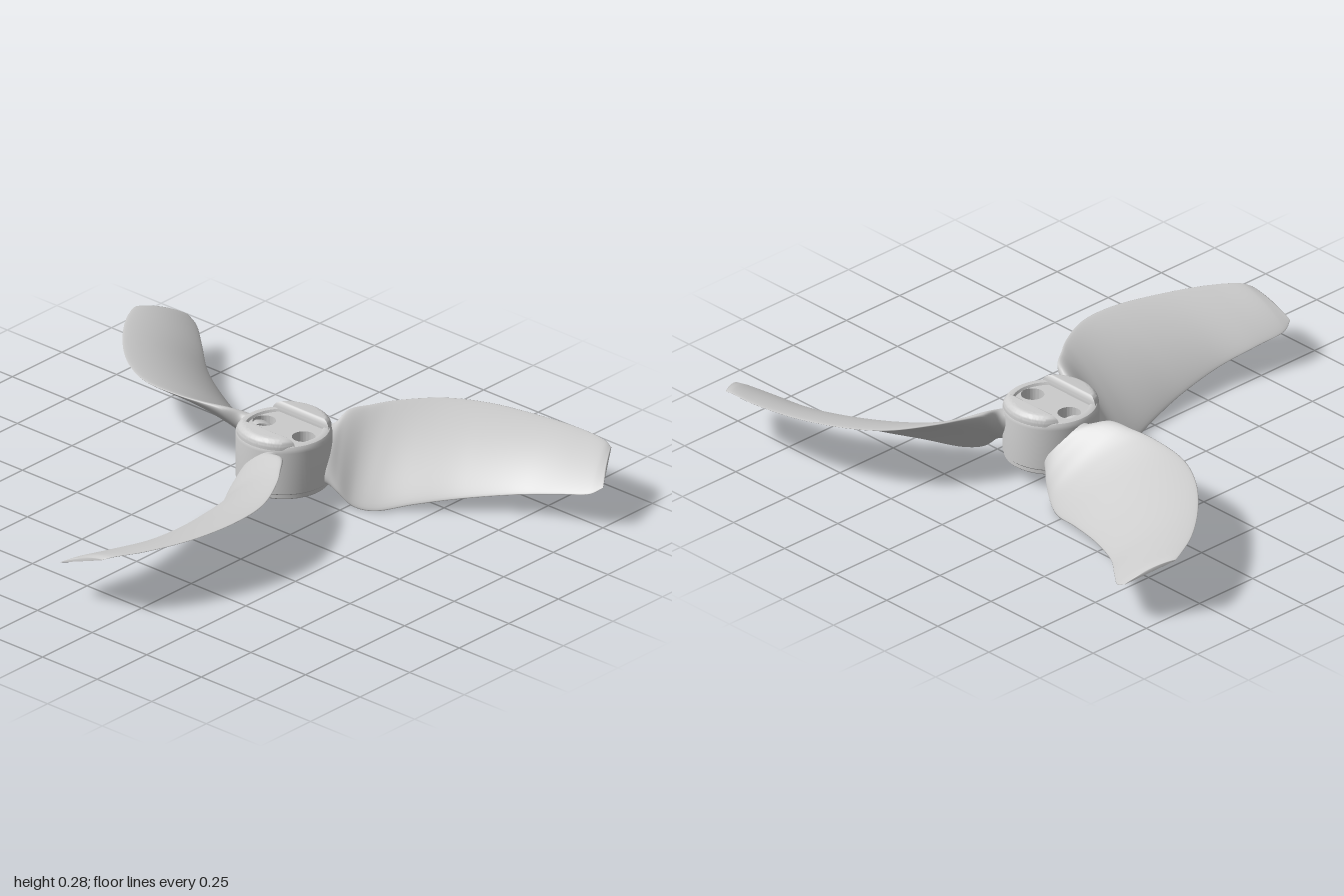
import * as THREE from 'three';
import { toCreasedNormals } from 'three/addons/utils/BufferGeometryUtils.js';

const material = new THREE.MeshStandardMaterial({ color: 0xcccccc });

function part(name, geometry) {
  const mesh = new THREE.Mesh(geometry, material);
  mesh.name = name;
  return mesh;
}

// Blade stations, root to tip: low edge x,y,z / high edge x,y,z / half thickness / camber
const STATIONS = [
  [-0.05, 0.09, 0.08, 0.09, 0.23, 0.08, 0.055, 0],
  [-0.055, 0.085, 0.16, 0.10, 0.235, 0.15, 0.045, 0],
  [-0.065, 0.06, 0.20, 0.165, 0.262, 0.19, 0.033, 0.005],
  [-0.065, 0.015, 0.25, 0.22, 0.262, 0.26, 0.02, 0.015],
  [-0.06, 0.0, 0.32, 0.27, 0.26, 0.33, 0.014, 0.025],
  [-0.03, 0.025, 0.46, 0.34, 0.252, 0.48, 0.012, 0.03],
  [0.0, 0.05, 0.62, 0.35, 0.245, 0.63, 0.01, 0.028],
  [0.01, 0.08, 0.81, 0.315, 0.235, 0.81, 0.009, 0.022],
  [-0.015, 0.11, 0.96, 0.25, 0.23, 0.98, 0.008, 0.016],
  [-0.03, 0.13, 1.07, 0.19, 0.225, 1.075, 0.007, 0.012],
  [-0.015, 0.15, 1.11, 0.165, 0.215, 1.10, 0.004, 0.008],
];

// Twisted blade lofted through thin cambered sections
function bladeGeometry() {
  const curve = (k) => new THREE.CatmullRomCurve3(
    STATIONS.map((s) => new THREE.Vector3(s[k], s[k + 1], s[k + 2] || 0)));
  const low = curve(0), high = curve(3), body = curve(6);
  const rows = 80, cols = 40, pos = [], index = [];
  for (let i = 0; i <= rows; i++) {
    const t = i / rows;
    const L = low.getPoint(t), R = high.getPoint(t), b = body.getPoint(t);
    const n = new THREE.Vector3(L.y - R.y, R.x - L.x, 0).normalize();
    for (let j = 0; j < cols; j++) {
      const a = (j / cols) * Math.PI * 2;
      const s = (1 - Math.cos(a)) / 2;
      const p = L.clone().lerp(R, s)
        .addScaledVector(n, b.y * 4 * s * (1 - s) + b.x * Math.sin(a));
      pos.push(p.x, Math.max(p.y, 0), p.z);
      if (i < rows) {
        const j2 = (j + 1) % cols;
        const p0 = i * cols + j, p1 = i * cols + j2;
        const q0 = p0 + cols, q1 = p1 + cols;
        index.push(p0, q0, p1, p1, q0, q1);
      }
    }
  }
  // Tip cap
  const last = rows * cols;
  for (let j = 1; j < cols - 1; j++) index.push(last, last + j + 1, last + j);
  const g = new THREE.BufferGeometry();
  g.setAttribute('position', new THREE.Float32BufferAttribute(pos, 3));
  g.setIndex(index);
  g.computeVertexNormals();
  return g;
}

// Hub wall, open underneath, with a small step at the foot
function hubWall() {
  const profile = [
    [0.14, 0.21], [0.14, 0.06], [0.155, 0.06], [0.16, 0.065], [0.16, 0.078], [0.165, 0.083],
    [0.165, 0.235], [0.163, 0.247], [0.157, 0.256], [0.147, 0.26], [0.135, 0.258], [0.13, 0.25],
  ].map(([r, y]) => new THREE.Vector2(r, y));
  return toCreasedNormals(new THREE.LatheGeometry(profile, 72), 0.6);
}

// Deck with two through holes
function deck() {
  const shape = new THREE.Shape().absarc(0, 0, 0.15, 0, Math.PI * 2);
  for (const x of [-0.09, 0.09]) {
    shape.holes.push(new THREE.Path().absarc(x, 0, 0.04, 0, Math.PI * 2, true));
  }
  const g = new THREE.ExtrudeGeometry(shape, { depth: 0.065, bevelEnabled: false, curveSegments: 48 });
  g.rotateX(-Math.PI / 2).translate(0, 0.185, 0);
  return toCreasedNormals(g, 0.6);
}

// Rounded crown beside the slot
function crown() {
  const a = Math.asin(0.1 / 0.133);
  const shape = new THREE.Shape().absarc(0, 0, 0.133, a, Math.PI - a);
  shape.closePath();
  const g = new THREE.ExtrudeGeometry(shape, {
    depth: 0.03, bevelSize: 0.03, bevelThickness: 0.03, bevelSegments: 8, curveSegments: 40,
  });
  g.rotateX(-Math.PI / 2).translate(0, 0.225, 0);
  return toCreasedNormals(g, 0.6);
}

export function createModel() {
  const model = new THREE.Group();
  model.name = 'propeller';

  const rotor = new THREE.Group();
  rotor.name = 'rotor';
  rotor.position.set(0.03, 0, -0.21);
  model.add(rotor);

  rotor.add(part('hubWall', hubWall()), part('hubDeck', deck()));

  const crownGeometry = crown();
  for (let i = 0; i < 2; i++) {
    const c = part('hubCrown', crownGeometry);
    c.rotation.y = i * Math.PI;
    rotor.add(c);
  }

  const blade = bladeGeometry();
  for (let i = 0; i < 3; i++) {
    const b = part('blade', blade);
    b.rotation.y = (i * Math.PI * 2) / 3;
    rotor.add(b);
  }
  return model;
}
